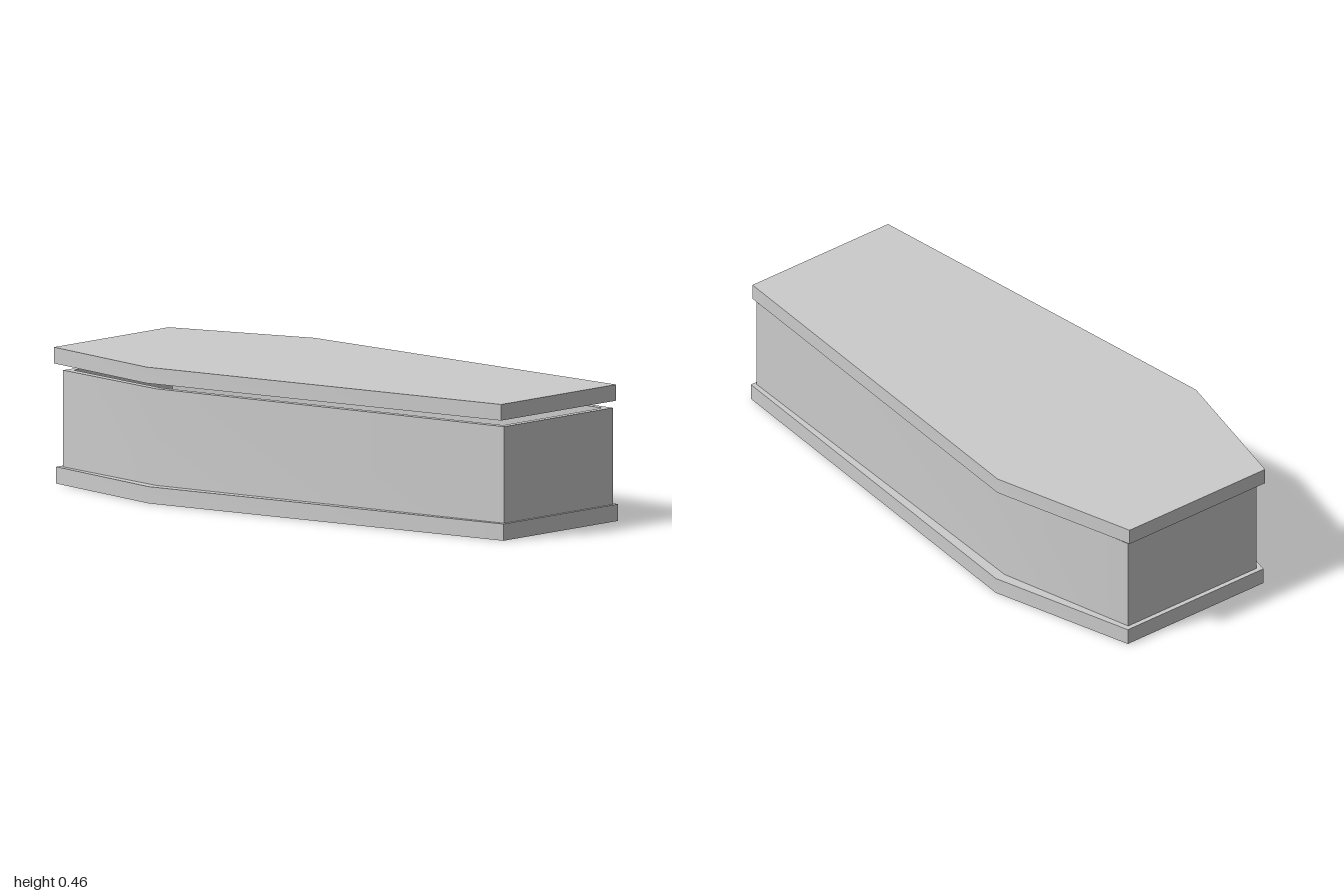
import * as THREE from 'three';
import { toCreasedNormals } from 'three/addons/utils/BufferGeometryUtils.js';

// Six-sided outline: narrow head (-z), wide shoulders, narrow foot (+z)
function outline({ cx, end, shoulder, back, shoulderZ, front }) {
  return [
    [-end, front], [end, front], [shoulder, shoulderZ],
    [end, back], [-end, back], [-shoulder, shoulderZ],
  ].map(([x, z]) => new THREE.Vector2(cx + x, -z));
}

// Upright slab from y0 to y1; the shallow shoulder bend stays smooth
function slab(name, material, dims, y0, y1, holeDims) {
  const shape = new THREE.Shape(outline(dims));
  if (holeDims) shape.holes.push(new THREE.Path(outline(holeDims)));
  const geometry = new THREE.ExtrudeGeometry(shape, { depth: y1 - y0, bevelEnabled: false });
  geometry.rotateX(-Math.PI / 2);
  geometry.translate(0, y0, 0);
  const mesh = new THREE.Mesh(toCreasedNormals(geometry, 0.6), material);
  mesh.name = name;
  return mesh;
}

export function createModel() {
  const group = new THREE.Group();
  group.name = 'coffin';
  const grey = new THREE.MeshStandardMaterial({ color: 0xcccccc });

  const base = { cx: -0.003, end: 0.297, shoulder: 0.435, back: -0.987, shoulderZ: -0.457, front: 1 };
  const walls = { cx: -0.003, end: 0.281, shoulder: 0.396, back: -0.97, shoulderZ: -0.457, front: 0.99 };
  const inside = { cx: -0.003, end: 0.256, shoulder: 0.369, back: -0.945, shoulderZ: -0.457, front: 0.965 };
  const lid = { cx: 0, end: 0.297, shoulder: 0.435, back: -1, shoulderZ: -0.47, front: 0.988 };

  group.add(
    slab('base', grey, base, 0, 0.057),
    slab('walls', grey, walls, 0.057, 0.386, inside), // open box under the lid
    slab('lid', grey, lid, 0.408, 0.463), // raised slightly above the walls
  );
  return group;
}
